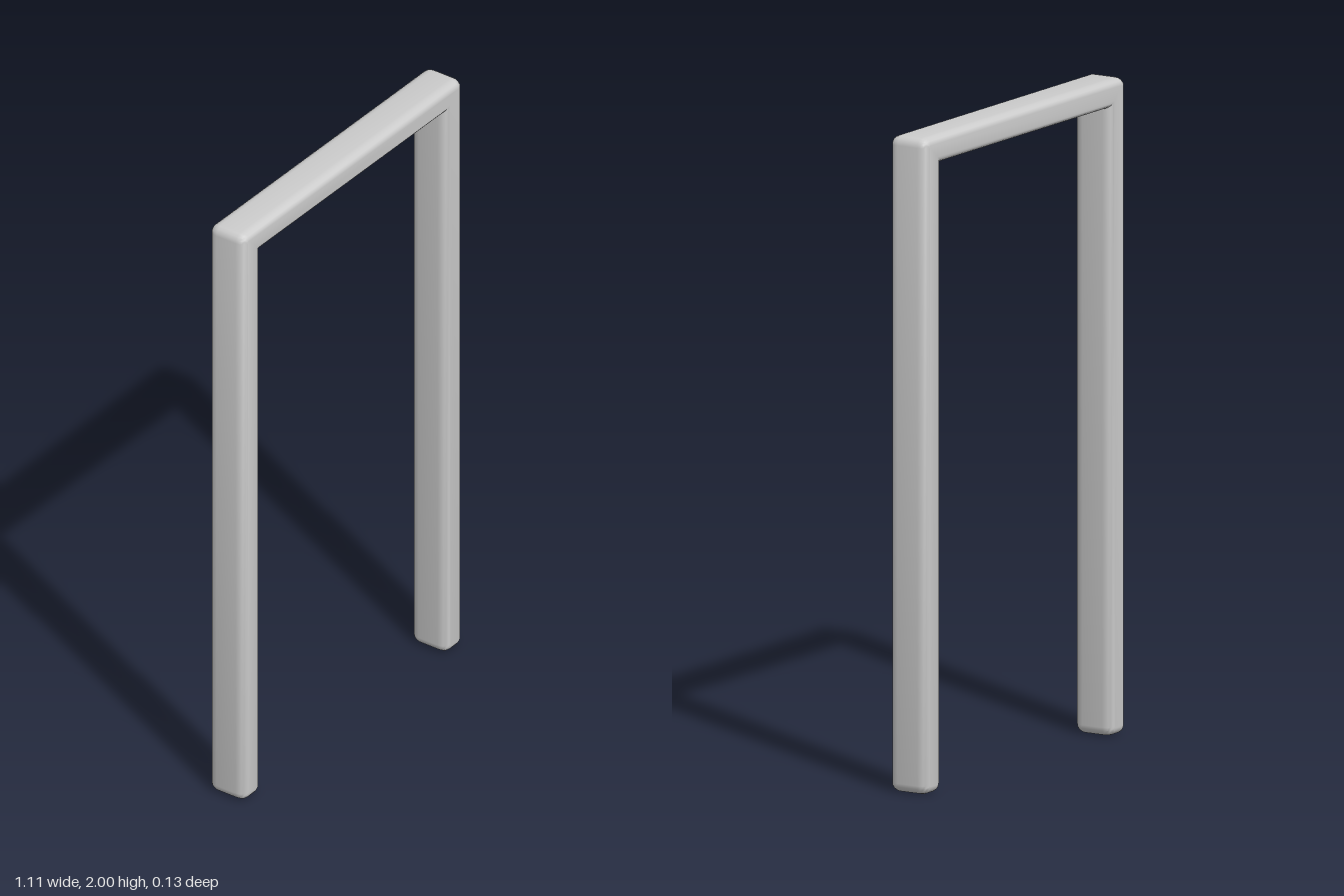
import * as THREE from 'three';
import { toCreasedNormals } from 'three/addons/utils/BufferGeometryUtils.js';

const HALF_WIDTH = 0.555, HEIGHT = 2, POST = 0.091, LINTEL = 0.086, DEPTH = 0.13;
const CORNER = 0.028, ROUND_XY = 0.023, ROUND_Z = 0.03, STEPS = 4;

// Closed outline; each point is [x, y, cornerRadius], rounded corners are true quarter circles
function outline(corners) {
  const points = [];
  corners.forEach(([x, y, r], i) => {
    const p = new THREE.Vector2(x, y);
    if (!r) {
      points.push(p);
      return;
    }
    const toward = ([qx, qy]) => new THREE.Vector2(qx, qy).sub(p).setLength(r);
    const back = toward(corners.at(i - 1));
    const ahead = toward(corners[(i + 1) % corners.length]);
    for (let k = 0; k <= STEPS; k++) {
      const t = (k / STEPS) * Math.PI / 2;
      points.push(p.clone()
        .addScaledVector(back, 1 - Math.sin(t))
        .addScaledVector(ahead, 1 - Math.cos(t)));
    }
  });
  return new THREE.Shape(points);
}

export function createModel() {
  const group = new THREE.Group();
  group.name = 'doorway';
  const material = new THREE.MeshStandardMaterial({ color: 0xcccccc });

  // Two posts and a lintel as one continuous bar, open at the bottom
  const inner = HALF_WIDTH - POST, under = HEIGHT - LINTEL;
  const shape = outline([
    [-HALF_WIDTH, 0, CORNER], [-inner, 0, CORNER],
    [-inner, under, 0], [inner, under, 0],
    [inner, 0, CORNER], [HALF_WIDTH, 0, CORNER],
    [HALF_WIDTH, HEIGHT, CORNER], [-HALF_WIDTH, HEIGHT, CORNER],
  ]);

  // Rounded front and back edges
  const geometry = new THREE.ExtrudeGeometry(shape, {
    depth: DEPTH - 2 * ROUND_Z,
    bevelSize: ROUND_XY,
    bevelOffset: -ROUND_XY,
    bevelThickness: ROUND_Z,
    bevelSegments: 5,
  });
  geometry.translate(0, 0, ROUND_Z - DEPTH / 2);

  const frame = new THREE.Mesh(toCreasedNormals(geometry, 0.7), material);
  frame.name = 'doorFrame';
  group.add(frame);
  return group;
}
